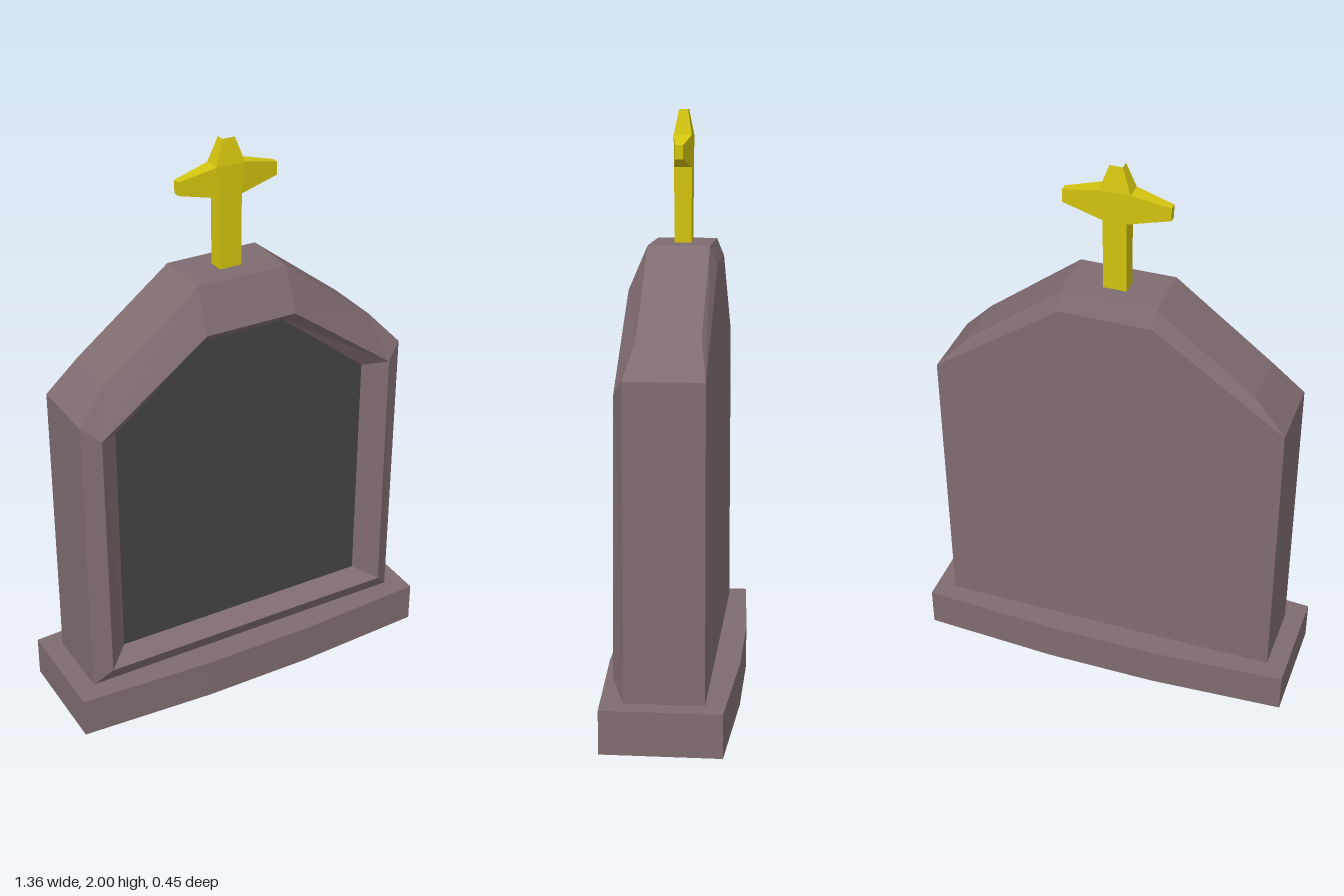
import * as THREE from 'three';

const stone = new THREE.MeshStandardMaterial({ color: 0x7f6c70 });
stone.name = 'stone';
const slate = new THREE.MeshStandardMaterial({ color: 0x434343 });
slate.name = 'slate';
const gold = new THREE.MeshStandardMaterial({ color: 0xd3c40f });
gold.name = 'gold';

// Faceted mesh from polygons, each a convex loop of corners
function facetMesh(name, polygons, material) {
  const pos = [];
  for (const p of polygons) {
    for (let i = 1; i < p.length - 1; i++) {
      const [a, b, c] = [p[0], p[i], p[i + 1]];
      const area = new THREE.Triangle(a, b, c).getArea();
      if (area > 1e-7) for (const v of [a, b, c]) pos.push(v.x, v.y, v.z);
    }
  }
  const geo = new THREE.BufferGeometry();
  geo.setAttribute('position', new THREE.Float32BufferAttribute(pos, 3));
  geo.computeVertexNormals();
  const mesh = new THREE.Mesh(geo, material);
  mesh.name = name;
  return mesh;
}

// Closed loop from its +x half, listed from bottom to top
function mirrorLoop(half) {
  const right = half.map(([x, y, z]) => new THREE.Vector3(x, y, z));
  const left = half.map(([x, y, z]) => new THREE.Vector3(-x, y, z)).reverse();
  return [...right, ...left];
}

// Quads joining two loops, the second one further along the surface
function band(a, b, skip = []) {
  const quads = [];
  a.forEach((_, i) => {
    const j = (i + 1) % a.length;
    if (!skip.includes(i)) quads.push([a[i], a[j], b[j], b[i]]);
  });
  return quads;
}

function createBase() {
  const outline = [[-0.68, -0.197], [-0.2, -0.223], [0.2, -0.223], [0.68, -0.197],
    [0.68, 0.197], [0.2, 0.223], [-0.2, 0.223], [-0.68, 0.197]];
  const shape = new THREE.Shape(outline.map(([x, y]) => new THREE.Vector2(x, y)));
  const geo = new THREE.ExtrudeGeometry(shape, { depth: 0.145, bevelEnabled: false });
  geo.rotateX(-Math.PI / 2);
  const mesh = new THREE.Mesh(geo, stone);
  mesh.name = 'base';
  return mesh;
}

function createHeadstone() {
  const group = new THREE.Group();
  group.name = 'headstone';
  // Loops from the back face, over the sides, to the recessed front
  const loops = [
    [[0.61, 0.14, -0.135], [0.61, 1.18, -0.135], [0.61, 1.18, -0.135], [0.16, 1.5, -0.138]],
    [[0.61, 0.14, -0.135], [0.61, 1.18, -0.135], [0.5, 1.3, -0.113], [0.165, 1.56, -0.113]],
    [[0.61, 0.14, 0.125], [0.61, 1.18, 0.125], [0.5, 1.3, 0.092], [0.165, 1.56, 0.092]],
    [[0.55, 0.21, 0.165], [0.55, 1.13, 0.158], [0.55, 1.13, 0.158], [0.165, 1.412, 0.156]],
    [[0.475, 0.25, 0.1], [0.475, 1.11, 0.1], [0.475, 1.11, 0.1], [0.155, 1.365, 0.1]],
  ].map(mirrorLoop);
  const faces = [[...loops[0]].reverse()];
  for (let i = 0; i < loops.length - 1; i++) faces.push(...band(loops[i], loops[i + 1]));
  group.add(facetMesh('stoneBody', faces, stone));
  group.add(facetMesh('inscriptionPanel', [loops[4]], slate));
  return group;
}

function createCross() {
  // x, y and half thickness of the +x half
  const half = [[0.04, 1.55, 0.028], [0.04, 1.81, 0.03], [0.18, 1.84, 0.013],
    [0.18, 1.885, 0.013], [0.052, 1.915, 0.03], [0.022, 2, 0.015]];
  const front = mirrorLoop(half);
  const back = front.map((v) => new THREE.Vector3(v.x, v.y, -v.z));
  // The ends of the upright are open
  const faces = band(back, front, [5, 11]);
  for (const [a, b, c, d] of [[0, 1, 10, 11], [1, 4, 7, 10], [4, 5, 6, 7], [1, 2, 3, 4], [7, 8, 9, 10]]) {
    faces.push([front[a], front[b], front[c], front[d]]);
    faces.push([back[d], back[c], back[b], back[a]]);
  }
  const mesh = facetMesh('cross', faces, gold);
  mesh.position.z = -0.013;
  return mesh;
}

export function createModel() {
  const model = new THREE.Group();
  model.name = 'gravestone';
  model.add(createBase(), createHeadstone(), createCross());
  return model;
}
